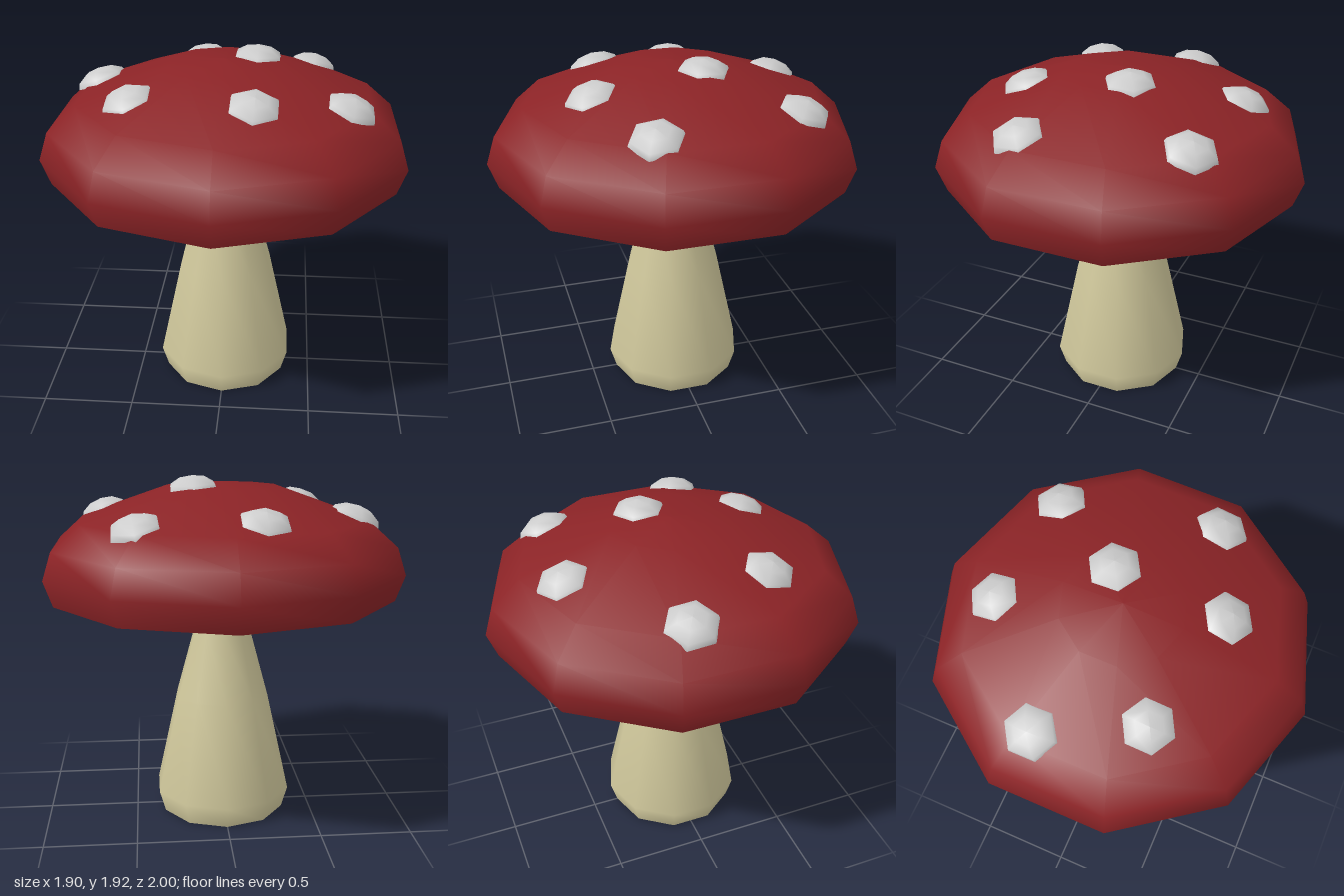
import * as THREE from 'three';

const SIDES = 10;

// Outer cap profile from rim to crown: [radius, height]
const CAP = [[0.95, 1.26], [1, 1.4], [0.952, 1.547], [0.8, 1.68], [0.31, 1.852], [0, 1.875]];
const LIP = [[0.84, 1.31], [0.95, 1.26]];
const STEM = [[0.355, 0], [0.39, 0.12], [0.265, 0.68], [0.163, 1.05], [0.135, 1.26], [0.09, 1.54]];
const SPOT = [[0.142, -0.018], [0.13, 0.014], [0.075, 0.046], [0, 0.058]];

// Spot centres: [x, z]
const SPOTS = [
  [-0.155, -0.62], [0.47, -0.55], [-0.7, -0.17], [0.165, -0.115],
  [0.65, 0.265], [-0.47, 0.33], [0.17, 0.475],
];

function lathe(name, profile, sides, material) {
  const points = profile.map(([r, y]) => new THREE.Vector2(r, y));
  const mesh = new THREE.Mesh(new THREE.LatheGeometry(points, sides), material);
  mesh.name = name;
  return mesh;
}

// Point and normal on the faceted cap above (x, z)
function capSurface(x, z) {
  const half = Math.PI / SIDES;
  let r = 0;
  for (let i = 0; i < SIDES; i++) {
    const a = half * (2 * i + 1);
    r = Math.max(r, (x * Math.sin(a) + z * Math.cos(a)) / Math.cos(half));
  }
  let i = CAP.length - 1;
  while (i > 1 && CAP[i - 1][0] < r) i--;
  const [r0, y0] = CAP[i - 1];
  const [r1, y1] = CAP[i];
  const slope = (y1 - y0) / (r1 - r0);
  const d = Math.hypot(x, z);
  return {
    point: new THREE.Vector3(x, y0 + slope * (r - r0), z),
    normal: new THREE.Vector3((-slope * x) / d, 1, (-slope * z) / d).normalize(),
  };
}

export function createModel() {
  const paint = (color) => new THREE.MeshStandardMaterial({ color, side: THREE.DoubleSide });
  const red = paint(0x8b2326);
  const cream = paint(0xcfc79b);
  const grey = paint(0xcccccc);

  const model = new THREE.Group();
  model.name = 'mushroom';

  // Open tapering stem, hollow cap and its turned-in lip
  model.add(
    lathe('stem', STEM, SIDES, cream),
    lathe('cap', CAP, SIDES, red),
    lathe('capLip', LIP, SIDES, red),
  );

  // Six-sided domed spots lying on the cap
  const spots = new THREE.Group();
  spots.name = 'spots';
  const up = new THREE.Vector3(0, 1, 0);
  for (const [x, z] of SPOTS) {
    const { point, normal } = capSurface(x, z);
    const spot = lathe('spot', SPOT, 6, grey);
    spot.position.copy(point);
    spot.quaternion.setFromUnitVectors(up, normal);
    spots.add(spot);
  }
  model.add(spots);
  return model;
}
